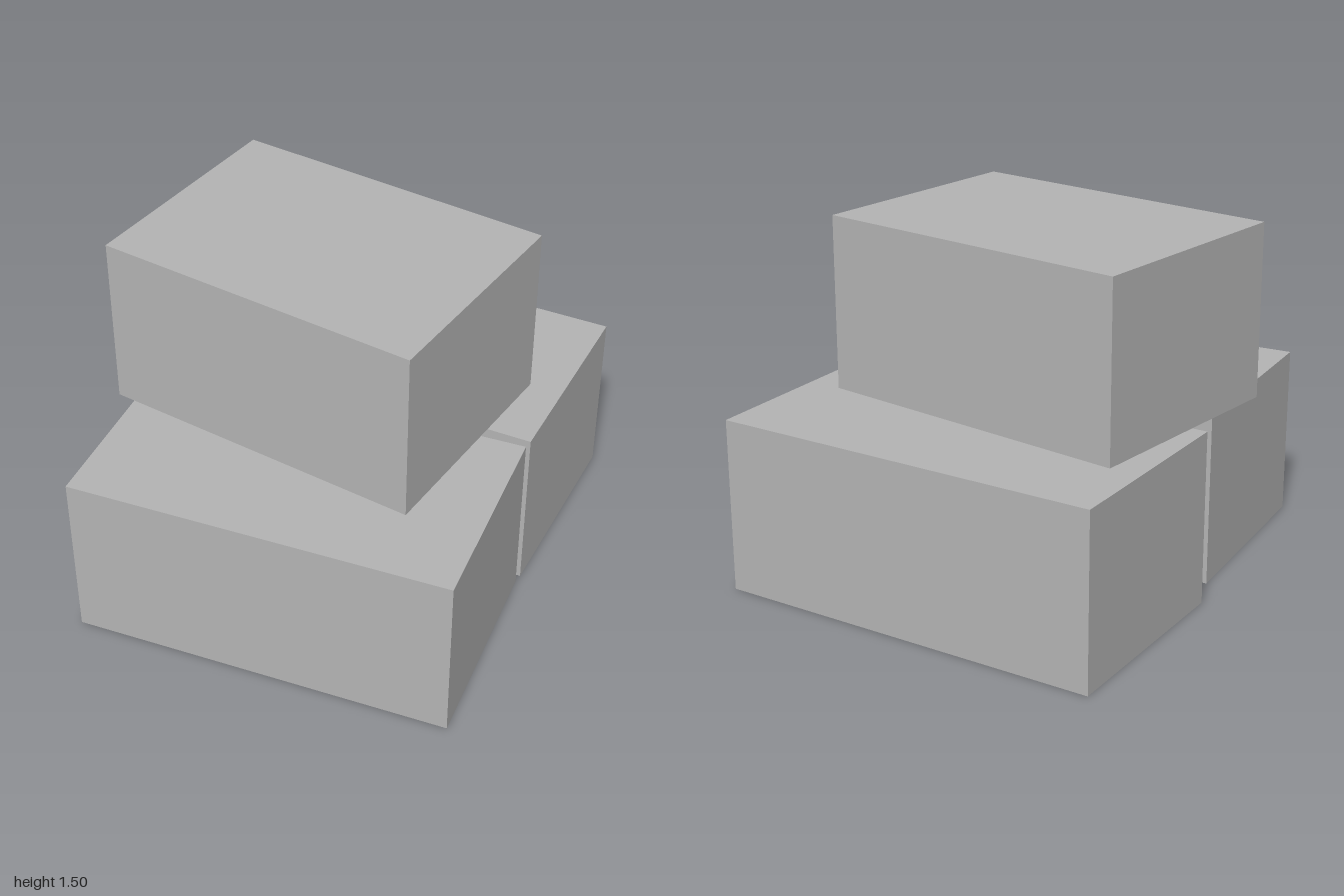
import * as THREE from 'three';

export function createModel() {
  const group = new THREE.Group();
  group.name = 'boxStack';
  const grey = new THREE.MeshStandardMaterial({ color: 0xb4b4b4 });
  grey.name = 'plain grey';
  const height = 0.748;

  // One box resting at a given height, turned about the vertical axis
  function addBox(name, width, depth, x, base, z, turn) {
    const box = new THREE.Mesh(new THREE.BoxGeometry(width, height, depth), grey);
    box.name = name;
    box.position.set(x, base + height / 2, z);
    box.rotation.y = turn;
    group.add(box);
  }

  // Two boxes side by side on the ground, with a third across them
  addBox('backBox', 1.695, 0.915, -0.037, 0, -0.542, 0);
  addBox('frontBox', 1.63, 0.915, 0.03, 0, 0.476, 0.081);
  addBox('topBox', 1.425, 1.017, -0.105, height, -0.034, -0.121);

  return group;
}
